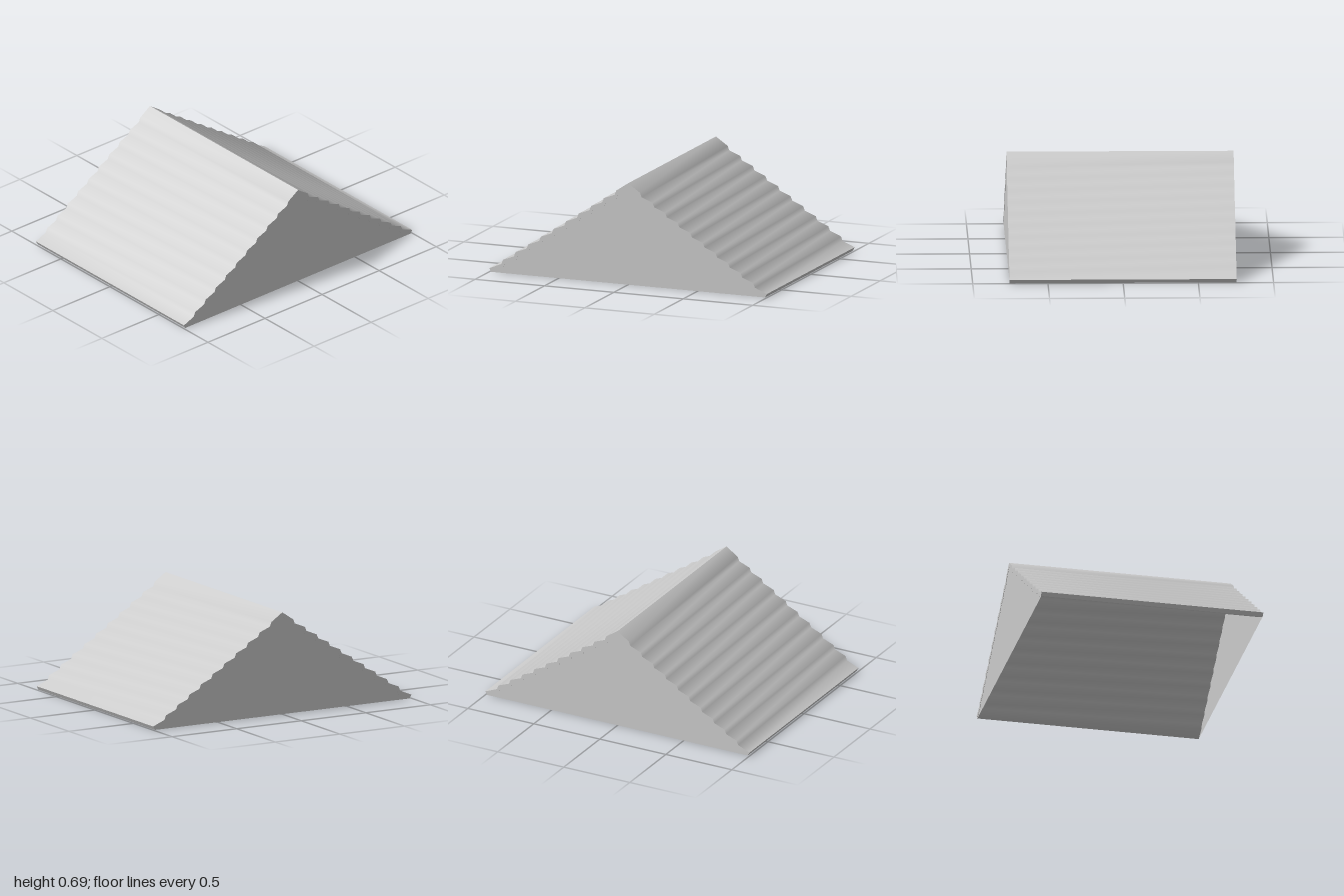
import * as THREE from 'three';
import { toCreasedNormals } from 'three/addons/utils/BufferGeometryUtils.js';

const DEPTH = 1.51;
const STEPS = 10;
const material = new THREE.MeshStandardMaterial({ color: 0xcccccc, side: THREE.DoubleSide });

// One slope of lapped boards, from the ridge down to the eave
function slope() {
  const points = [[0, 0.692]];
  for (let k = 0; k < STEPS; k++) {
    const x = 0.085 + 0.0907 * k, y = 0.635 - 0.0605 * k;
    points.push([x, y], [x + 0.012, y - 0.03]);
  }
  points.push([1, 0.025]);
  return points;
}

// Mirror a slope into a full line from the left eave to the right eave
function bothSides(points) {
  const other = points.slice(1).map(([x, y]) => [-x, y]).reverse();
  return [...other, ...points].map(([x, y]) => new THREE.Vector2(x, y));
}

export function createModel() {
  const group = new THREE.Group();
  group.name = 'gableRoof';

  const outer = slope();
  const inner = outer.map(([x, y], i) => (i === 0 ? [0, 0.66] : [x - 0.014, y - 0.025]));
  const top = bothSides(outer);
  const under = bothSides(inner);

  // Roof shell: stepped band, smooth along the boards, sharp at ridge and eaves
  const band = new THREE.Shape([...top, ...under.slice().reverse()]);
  const shell = new THREE.ExtrudeGeometry(band, { depth: DEPTH, bevelEnabled: false });
  shell.translate(0, 0, -DEPTH / 2);
  const roof = new THREE.Mesh(toCreasedNormals(shell, Math.PI / 3), material);
  roof.name = 'roofShell';
  group.add(roof);

  // Thin gable walls closing both ends; the underside stays open
  const wall = new THREE.ShapeGeometry(new THREE.Shape(under));
  for (const [name, side] of [['frontGable', 1], ['backGable', -1]]) {
    const gable = new THREE.Mesh(wall, material);
    gable.name = name;
    gable.position.z = side * (DEPTH / 2 - 0.002);
    if (side < 0) gable.rotation.y = Math.PI;
    group.add(gable);
  }
  return group;
}
